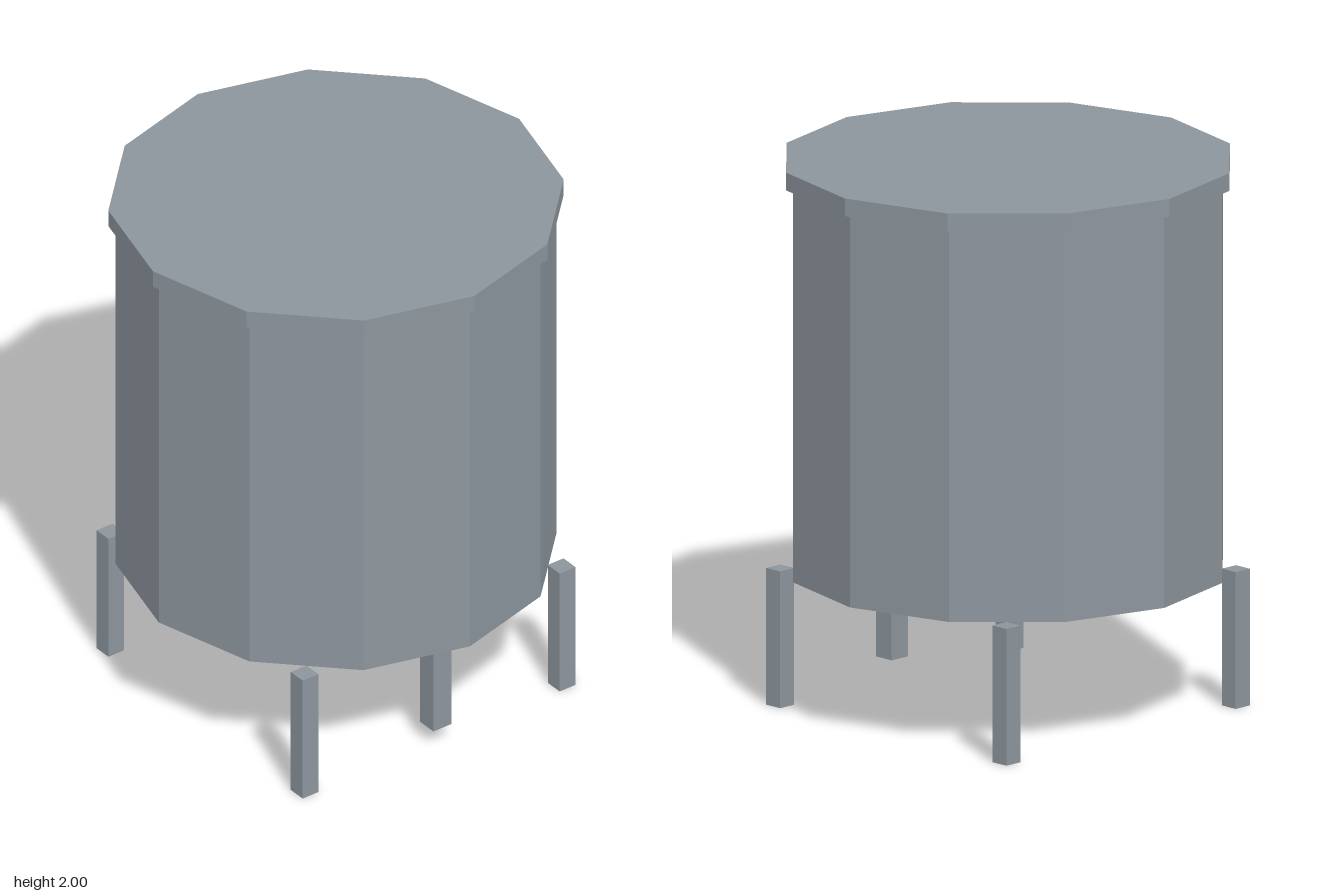
import * as THREE from 'three';

export function createModel() {
  const model = new THREE.Group();
  const steel = new THREE.MeshStandardMaterial({ color: 0x8c959d });
  steel.name = 'steelGrey';
  steel.flatShading = true;

  function add(name, geometry, x, bottom, z, height) {
    const mesh = new THREE.Mesh(geometry, steel);
    mesh.name = name;
    mesh.position.set(x, bottom + height / 2, z);
    model.add(mesh);
  }

  // Twelve-sided tank with a slightly wider lid
  add('tankBody', new THREE.CylinderGeometry(0.786, 0.786, 1.435, 12), 0, 0.5, 0, 1.435);
  add('lid', new THREE.CylinderGeometry(0.812, 0.812, 0.065, 12), 0, 1.935, 0, 0.065);

  // Four corner legs
  for (const [end, sz] of [['front', 1], ['back', -1]]) {
    for (const [side, sx] of [['Left', 1], ['Right', -1]]) {
      add(`${end}${side}Leg`, new THREE.BoxGeometry(0.07, 0.5, 0.07), sx * 0.57, 0, sz * 0.57, 0.5);
    }
  }

  // Square outlet pipe hanging under one side, short of the ground
  add('outletPipe', new THREE.BoxGeometry(0.08, 0.43, 0.08), 0.585, 0.07, 0, 0.43);

  return model;
}
